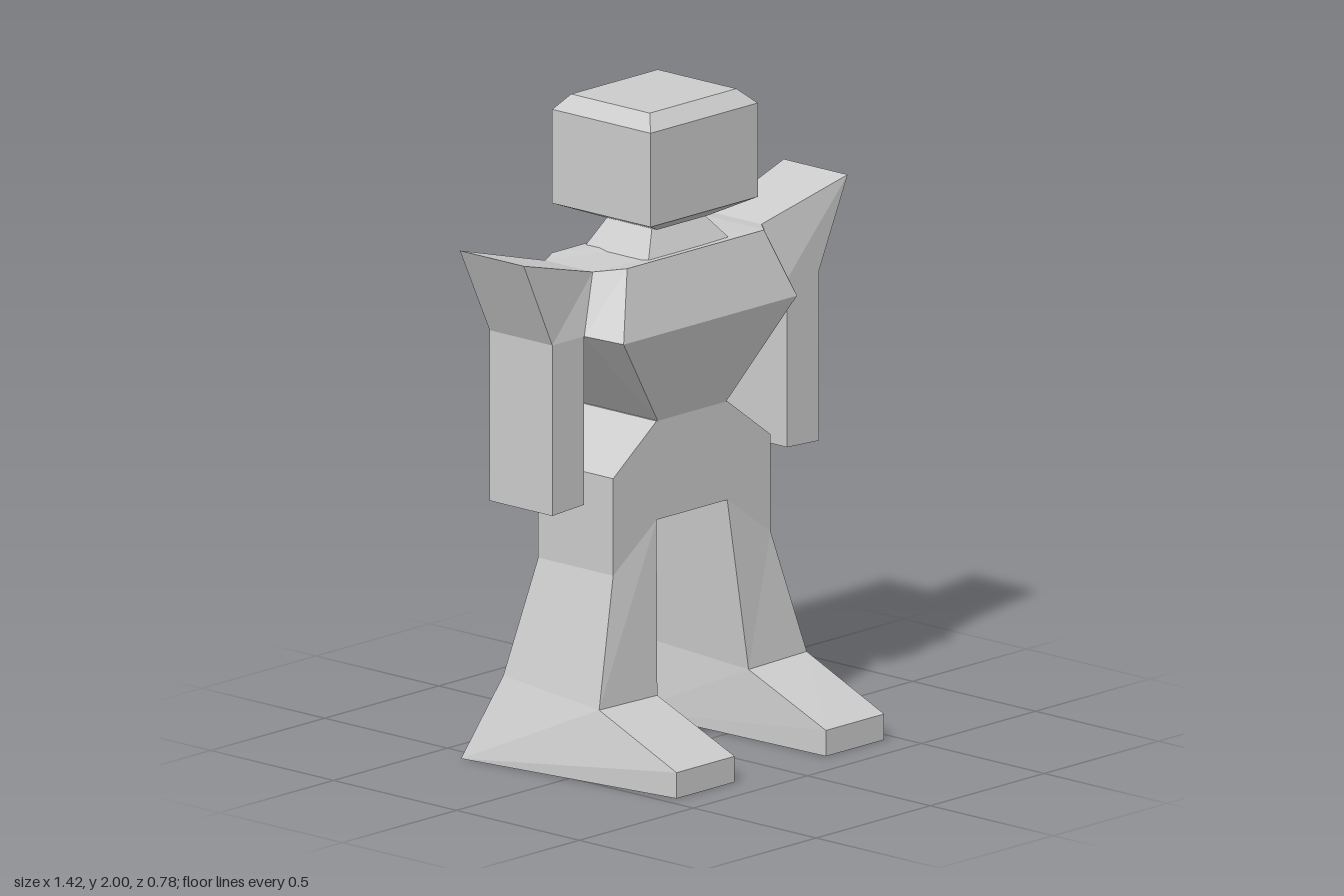
import * as THREE from 'three';

const material = new THREE.MeshStandardMaterial({ color: 0xcccccc, flatShading: true });

// Closed solid through cross-section rings with equal point counts, capped at both ends.
// Rings run counterclockwise when seen from the last ring's side.
function loft(name, rings) {
  const pos = [];
  const tri = (a, b, c) => {
    const [A, B, C] = [a, b, c].map((p) => new THREE.Vector3(...p));
    if (B.sub(A).cross(C.sub(A)).length() > 1e-6) pos.push(...a, ...b, ...c);
  };
  const n = rings[0].length;
  for (let r = 0; r < rings.length - 1; r++) {
    for (let i = 0; i < n; i++) {
      const j = (i + 1) % n;
      const lo = rings[r], hi = rings[r + 1];
      tri(lo[i], lo[j], hi[j]);
      tri(lo[i], hi[j], hi[i]);
    }
  }
  const first = rings[0], last = rings[rings.length - 1];
  for (let i = 1; i < n - 1; i++) {
    tri(first[0], first[i + 1], first[i]);
    tri(last[0], last[i], last[i + 1]);
  }
  const geometry = new THREE.BufferGeometry();
  geometry.setAttribute('position', new THREE.Float32BufferAttribute(pos, 3));
  geometry.computeVertexNormals();
  const mesh = new THREE.Mesh(geometry, material);
  mesh.name = name;
  return mesh;
}

// Horizontal rectangle, symmetric in x
const rect = (x, y, front, back) => [[-x, y, front], [x, y, front], [x, y, back], [-x, y, back]];

// Four corners of a limb section: inner and outer [x, y], front and back z
const section = ([xi, yi], [xo, yo], front, back) =>
  [[xi, yi, front], [xo, yo, front], [xo, yo, back], [xi, yi, back]];

const mirror = (rings) => rings.map((ring) => ring.map(([x, y, z]) => [-x, y, z]).reverse());

// Symmetric octagon from its right half, listed front to back
const octagon = (half) => [...half, ...half.map(([x, y, z]) => [-x, y, z]).reverse()];

export function createModel() {
  const model = new THREE.Group();

  // Head and neck
  model.add(loft('head', [
    rect(0.11, 1.615, -0.01, -0.235),
    rect(0.235, 1.665, 0.08, -0.32),
    rect(0.235, 1.955, 0.08, -0.32),
    rect(0.19, 2, 0.035, -0.285),
  ]));
  model.add(loft('neck', [
    rect(0.18, 1.535, 0.02, -0.24),
    rect(0.11, 1.62, -0.03, -0.21),
  ]));

  // Chest tapering to the waist
  model.add(loft('torso', [
    octagon([[0.15, 1.04, 0.03], [0.15, 1.04, 0.03], [0.15, 1.04, -0.3], [0.15, 1.04, -0.3]]),
    octagon([[0.38, 1.335, 0.105], [0.445, 1.355, 0.005], [0.445, 1.355, -0.25], [0.4, 1.335, -0.315]]),
    octagon([[0.3, 1.543, 0.045], [0.37, 1.533, -0.03], [0.37, 1.533, -0.225], [0.31, 1.54, -0.25]]),
  ]));

  // Hips, lofted from side to side
  const hip = (x, low, high, back) =>
    [[x, low, 0.03], [x, low, -0.275], [x, high, back], [x, high, 0.03]];
  model.add(loft('pelvis', [
    hip(-0.345, 0.6, 0.9, -0.275),
    hip(-0.155, 0.735, 1.04, -0.3),
    hip(0.155, 0.735, 1.04, -0.3),
    hip(0.345, 0.6, 0.9, -0.275),
  ]));

  // Arm with its flared shoulder
  const arm = [
    section([0.445, 0.835], [0.585, 0.828], 0.005, -0.25),
    section([0.445, 1.355], [0.585, 1.355], 0.005, -0.25),
    [[0.37, 1.533, -0.03], [0.71, 1.625, 0.005], [0.71, 1.625, -0.255], [0.37, 1.533, -0.225]],
  ];

  // Leg with toe and flared heel
  const leg = [
    [[0.2, 0, 0.39], [0.455, 0, 0.39], [0.56, 0, -0.39], [0.175, 0, -0.39]],
    [[0.2, 0.08, 0.39], [0.455, 0.08, 0.39], [0.56, 0, -0.39], [0.175, 0, -0.39]],
    [[0.2, 0.21, 0.075], [0.455, 0.215, 0.075], [0.455, 0.25, -0.315], [0.2, 0.23, -0.315]],
    section([0.155, 0.735], [0.345, 0.6], 0.03, -0.275),
  ];

  for (const [name, rings] of [['Arm', arm], ['Leg', leg]]) {
    model.add(loft('left' + name, rings));
    model.add(loft('right' + name, mirror(rings)));
  }
  return model;
}
